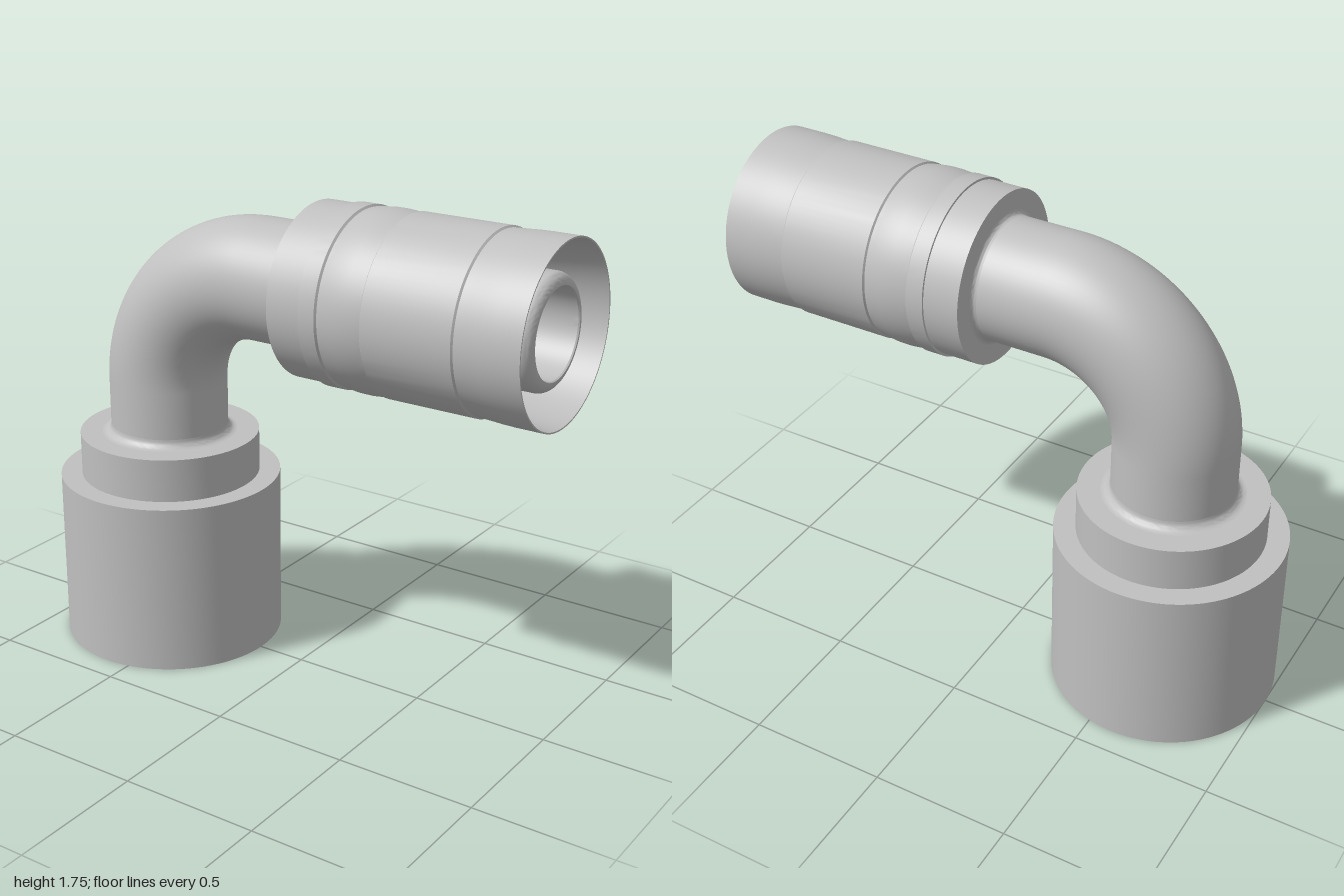
import * as THREE from 'three';
import { toCreasedNormals } from 'three/addons/utils/BufferGeometryUtils.js';

const AXIS_X = -0.593; // vertical axis of the collar
const AXIS_Y = 1.44;   // height of the horizontal axis
const BEND = 0.437;    // centreline radius of the elbow

// Centreline: straight up, quarter bend, straight along +x
class ElbowPath extends THREE.Curve {
  constructor(y0, x1) {
    super();
    this.y0 = y0;
    this.up = AXIS_Y - BEND - y0;
    this.arc = BEND * Math.PI / 2;
    this.run = x1 - (AXIS_X + BEND);
  }
  getPoint(t, target = new THREE.Vector3()) {
    const s = t * (this.up + this.arc + this.run);
    if (s < this.up) return target.set(AXIS_X, this.y0 + s, 0);
    if (s < this.up + this.arc) {
      const a = Math.PI - (s - this.up) / BEND;
      return target.set(AXIS_X + BEND + BEND * Math.cos(a), AXIS_Y - BEND + BEND * Math.sin(a), 0);
    }
    return target.set(AXIS_X + BEND + s - this.up - this.arc, AXIS_Y, 0);
  }
}

// Turned part from [radius, height] pairs, with crisp edges
function turned(profile) {
  const pts = profile.map(([r, h]) => new THREE.Vector2(r, h));
  return toCreasedNormals(new THREE.LatheGeometry(pts, 96), 0.5);
}

// Quarter-round run of profile points
function round(cr, ch, radius, from, to, steps = 8) {
  return Array.from({ length: steps + 1 }, (_, i) => {
    const a = from + (to - from) * i / steps;
    return [cr + radius * Math.cos(a), ch + radius * Math.sin(a)];
  });
}

export function createModel() {
  const group = new THREE.Group();
  const metal = new THREE.MeshStandardMaterial({ color: 0xc0c0c0, side: THREE.DoubleSide });
  const add = (name, geometry) => {
    const mesh = new THREE.Mesh(geometry, metal);
    mesh.name = name;
    group.add(mesh);
    return mesh;
  };
  const addUpright = (name, profile) => { add(name, turned(profile)).position.x = AXIS_X; };
  const addSideways = (name, profile) => {
    const mesh = add(name, turned(profile));
    mesh.rotation.z = -Math.PI / 2;
    mesh.position.y = AXIS_Y;
  };

  // Stepped collar, open underneath, with a ledge inside
  addUpright('collar', [
    [0.152, 0.55], [0.22, 0.5], [0.22, 0.25], [0.385, 0.25], [0.39, 0],
    [0.41, 0], [0.41, 0.635], [0.332, 0.635], [0.332, 0.795], [0.2, 0.795],
  ]);

  // Bent pipe and its bore
  add('elbowPipe', new THREE.TubeGeometry(new ElbowPath(0.78, 0.1), 96, 0.217, 64));
  add('pipeBore', new THREE.TubeGeometry(new ElbowPath(0.55, 0.95), 120, 0.152, 64));

  // Fillets where the pipe meets the collar and the sleeve
  addUpright('collarFillet', round(0.25, 0.828, 0.033, -Math.PI / 2, -Math.PI));
  addSideways('sleeveFillet', round(0.235, 0.052, 0.018, Math.PI, Math.PI / 2));

  // Crimped sleeve with an open flared end
  addSideways('sleeve', [
    [0.2, 0.07], [0.305, 0.07], [0.305, 0.2], [0.313, 0.2], [0.313, 0.262],
    [0.306, 0.268], [0.309, 0.29], [0.313, 0.33], [0.313, 0.37], [0.309, 0.41], [0.306, 0.43],
    [0.312, 0.435], [0.312, 0.762], [0.306, 0.768], [0.308, 0.81], [0.311, 0.86], [0.312, 0.9],
    [0.312, 1], [0.307, 1], [0.28, 0.77], [0.15, 0.77],
  ]);

  // Inner nipple with a rounded lip
  addSideways('nipple', [
    [0.195, 0.76], ...round(0.155, 0.93, 0.04, 0, Math.PI / 2), [0.152, 0.965], [0.152, 0.93],
  ]);

  return group;
}
